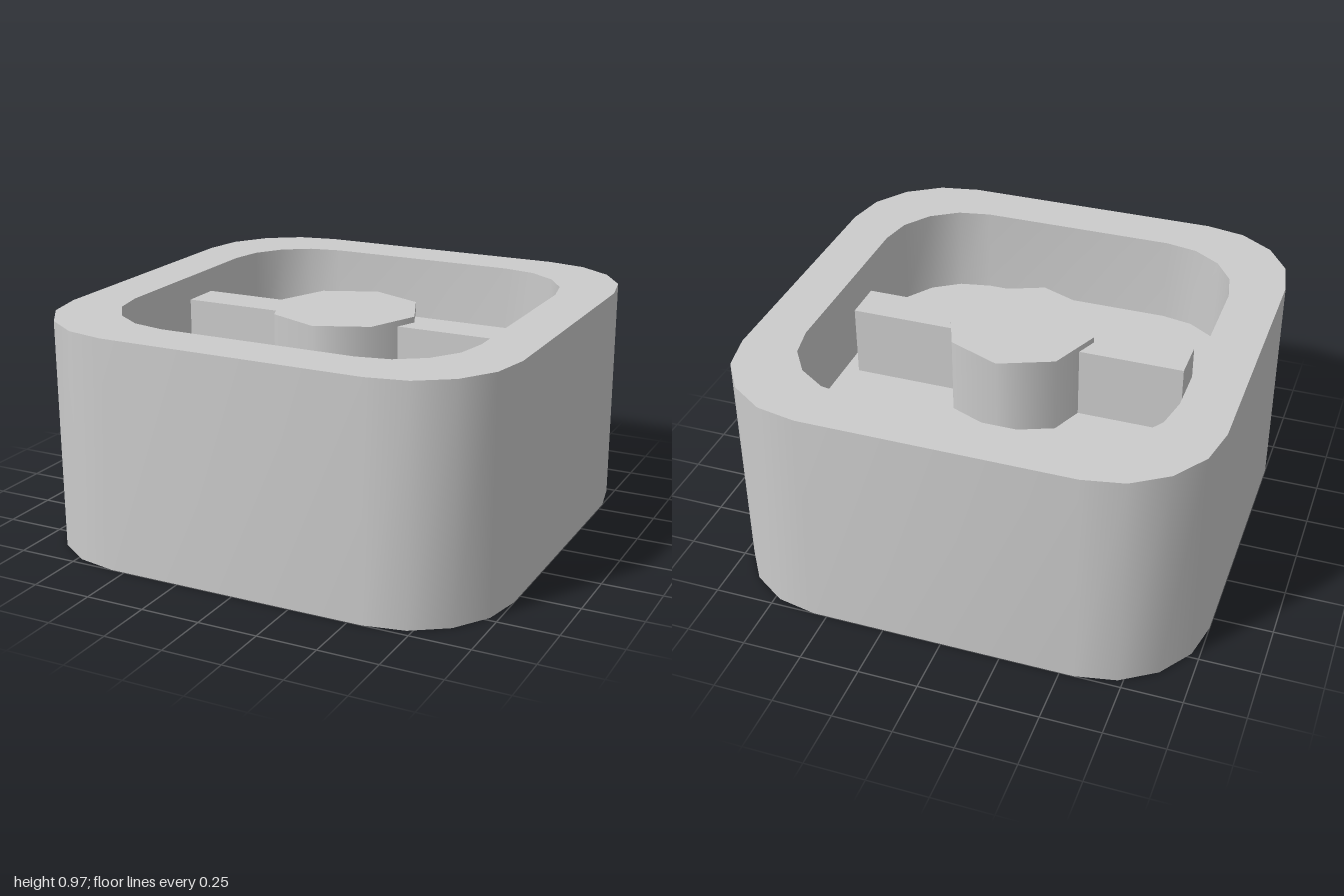
import * as THREE from 'three';
import { toCreasedNormals } from 'three/addons/utils/BufferGeometryUtils.js';

const HEIGHT = 0.97, FLOOR = 0.59;

// Rounded-square ring at height y, four segments per corner
function ring(half, radius, y) {
  const points = [], c = half - radius;
  for (let q = 0; q < 4; q++) {
    const mid = (q + 0.5) * Math.PI / 2;
    const cx = Math.sign(Math.cos(mid)) * c, cz = Math.sign(Math.sin(mid)) * c;
    for (let s = 0; s <= 4; s++) {
      const a = (q + s / 4) * Math.PI / 2;
      points.push([cx + radius * Math.cos(a), y, cz + radius * Math.sin(a)]);
    }
  }
  return points;
}

// Skin over successive rings, closed at both ends by a fan
function skin(rings) {
  const pos = [], n = rings[0].length;
  const tri = (a, b, c) => pos.push(...a, ...b, ...c);
  const first = rings[0], last = rings[rings.length - 1];
  for (let i = 0; i < n; i++) {
    const j = (i + 1) % n;
    tri([0, first[0][1], 0], first[i], first[j]);
    for (let k = 0; k < rings.length - 1; k++) {
      const a = rings[k], b = rings[k + 1];
      tri(a[i], b[i], a[j]);
      tri(a[j], b[i], b[j]);
    }
    tri(last[i], [0, last[0][1], 0], last[j]);
  }
  const geometry = new THREE.BufferGeometry();
  geometry.setAttribute('position', new THREE.Float32BufferAttribute(pos, 3));
  return toCreasedNormals(geometry, 0.6);
}

export function createModel() {
  const group = new THREE.Group();
  const material = new THREE.MeshStandardMaterial({ color: 0xcccccc });
  const add = (name, geometry, y = 0) => {
    const mesh = new THREE.Mesh(geometry, material);
    mesh.name = name;
    mesh.position.y = y;
    group.add(mesh);
  };

  // Block with a recess in its top
  add('housing', skin([
    ring(1, 0.44, 0),
    ring(1, 0.44, HEIGHT),
    ring(0.783, 0.36, HEIGHT),
    ring(0.783, 0.36, FLOOR),
  ]));

  // Eight-sided post in the middle of the recess
  const postTop = 0.92;
  add('centrePost', new THREE.CylinderGeometry(0.317, 0.317, postTop - FLOOR, 8), (postTop + FLOOR) / 2);

  // Bar running through the post from side to side
  const barTop = 0.895;
  add('crossBar', new THREE.BoxGeometry(1.44, barTop - FLOOR, 0.175), (barTop + FLOOR) / 2);

  return group;
}
